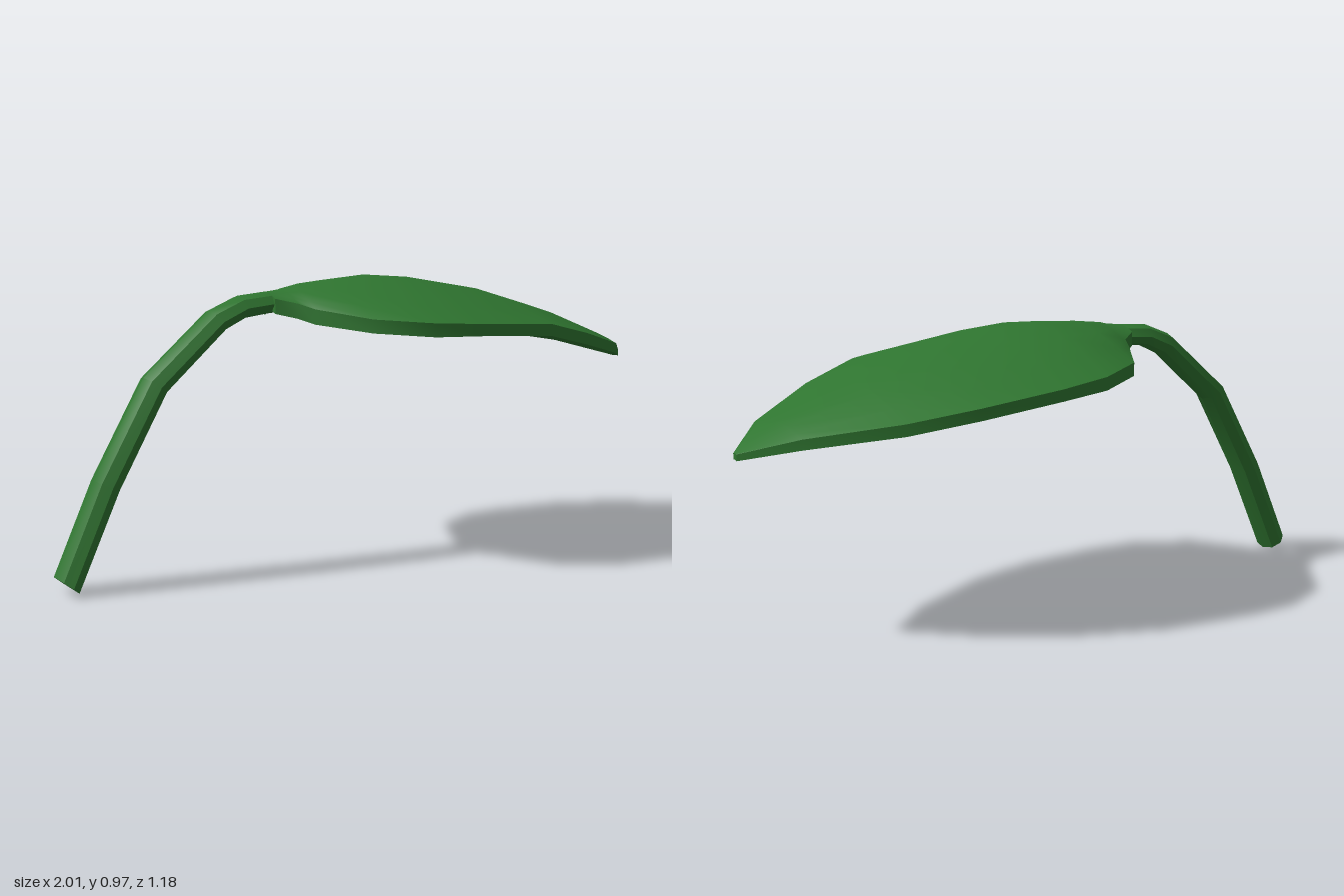
import * as THREE from 'three';
import { toCreasedNormals } from 'three/addons/utils/BufferGeometryUtils.js';

// Skin closed rings of [x, y, z] points, running along +x, and cap both ends.
function loft(rings) {
  const n = rings[0].length;
  const index = [];
  for (let i = 0; i < rings.length - 1; i++) {
    for (let j = 0; j < n; j++) {
      const k = (j + 1) % n;
      const a = i * n + j, b = i * n + k, c = b + n, d = a + n;
      index.push(a, b, c, a, c, d);
    }
  }
  const last = (rings.length - 1) * n;
  for (let j = 1; j < n - 1; j++) {
    index.push(0, j + 1, j, last, last + j, last + j + 1);
  }
  const geometry = new THREE.BufferGeometry();
  geometry.setAttribute('position', new THREE.Float32BufferAttribute(rings.flat(2), 3));
  geometry.setIndex(index);
  return toCreasedNormals(geometry, 0.6);
}

// Arched blade: [along, half width, midrib y, back edge y, front edge y, thickness]
function bladeRings() {
  const stations = [
    [-0.36, 0.07, 0.938, 0.92, 0.92, 0.05],
    [-0.30, 0.115, 0.945, 0.905, 0.905, 0.05],
    [-0.27, 0.18, 0.953, 0.89, 0.89, 0.05],
    [-0.16, 0.365, 0.967, 0.875, 0.868, 0.045],
    [0.015, 0.462, 0.98, 0.86, 0.855, 0.045],
    [0.19, 0.475, 0.965, 0.84, 0.845, 0.04],
    [0.48, 0.45, 0.912, 0.805, 0.827, 0.04],
    [0.70, 0.365, 0.845, 0.765, 0.775, 0.04],
    [0.97, 0.185, 0.74, 0.715, 0.705, 0.035],
    [1.12, 0.012, 0.655, 0.652, 0.652, 0.022],
  ];
  const across = [-1, -0.75, -0.4, 0, 0.4, 0.75, 1];
  return stations.map(([x, w, mid, back, front, thick]) => {
    const top = across.map((u) => {
      const edge = u < 0 ? back : front;
      return [x, mid - (mid - edge) * Math.abs(u) ** 1.6, u * w];
    });
    const bottom = top.map(([px, y, z]) => [px, y - thick, z]).reverse();
    return [...top, ...bottom];
  });
}

// Eight-sided bent stalk: [along, y, slope in degrees, half width, half height]
function stalkRings() {
  const stations = [
    [-1.08, 0.034, 52, 0.064, 0.046],
    [-0.94, 0.345, 66, 0.064, 0.046],
    [-0.766, 0.655, 54, 0.064, 0.045],
    [-0.543, 0.852, 33, 0.063, 0.042],
    [-0.453, 0.892, 15, 0.062, 0.039],
    [-0.358, 0.902, 2, 0.066, 0.037],
    [-0.24, 0.905, 0, 0.07, 0.03],
  ];
  return stations.map(([x, y, degrees, w, h]) => {
    const slope = THREE.MathUtils.degToRad(degrees);
    return Array.from({ length: 8 }, (_, j) => {
      const a = (j / 8) * Math.PI * 2;
      const lift = Math.sin(a) * h;
      return [x - Math.sin(slope) * lift, y + Math.cos(slope) * lift, -Math.cos(a) * w];
    });
  });
}

export function createModel() {
  const green = new THREE.MeshStandardMaterial({ color: 0x2f7530 });
  green.name = 'leaf green';

  // The leaf is modelled along x, then turned to lie diagonally.
  const leaf = new THREE.Group();
  leaf.name = 'leaf';
  leaf.rotation.y = 0.465;
  leaf.position.z = 0.045;

  const parts = { blade: bladeRings(), stalk: stalkRings() };
  for (const [name, rings] of Object.entries(parts)) {
    const mesh = new THREE.Mesh(loft(rings), green);
    mesh.name = name;
    leaf.add(mesh);
  }

  const model = new THREE.Group();
  model.name = 'leafWithStalk';
  model.add(leaf);
  return model;
}
